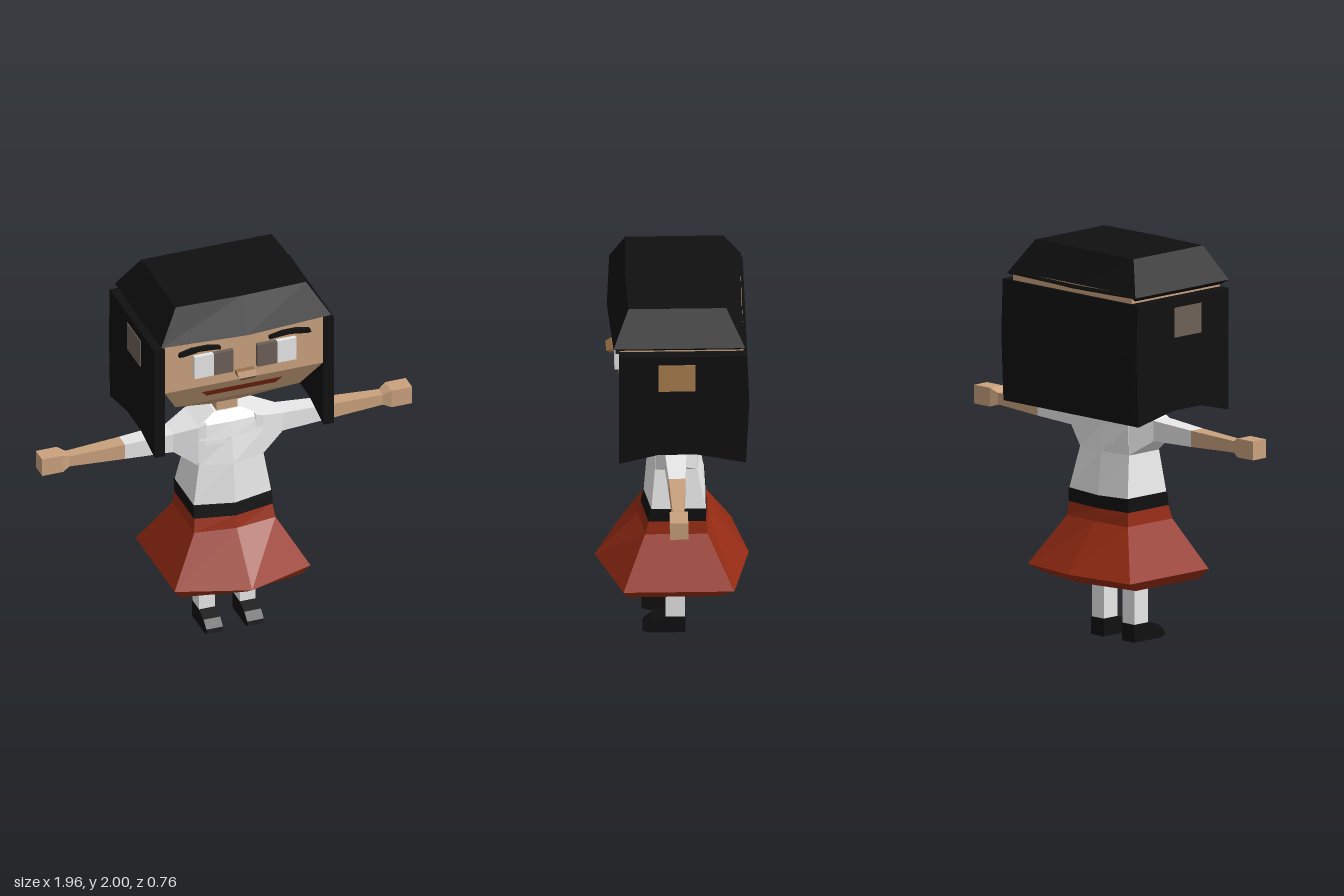
import * as THREE from 'three';

const mat = (name, color) => {
  const m = new THREE.MeshStandardMaterial({ color });
  m.name = name;
  return m;
};

// Four-cornered ring at height y
const ring4 = (y, x0, x1, zBack, zFront) =>
  [[x0, y, zFront], [x1, y, zFront], [x1, y, zBack], [x0, y, zBack]];

// Six-cornered ring with a centre ridge at front and back; drop lowers the ridges
const ring6 = (y, hw, zf, zfc, zb, zbc, drop = 0) => [
  [-hw, y, zf], [0, y - drop, zfc], [hw, y, zf],
  [hw, y, zb], [0, y - drop, zbc], [-hw, y, zb],
];

// Flat-faced skin over rings listed from bottom to top, closed at both ends
function loft(rings) {
  const pos = [];
  const tri = (a, b, c) => pos.push(...a, ...b, ...c);
  for (let s = 0; s < rings.length - 1; s++) {
    const lo = rings[s], hi = rings[s + 1], n = lo.length;
    for (let i = 0; i < n; i++) {
      const j = (i + 1) % n;
      tri(lo[i], lo[j], hi[j]);
      tri(lo[i], hi[j], hi[i]);
    }
  }
  const bottom = rings[0], top = rings[rings.length - 1];
  for (let i = 1; i < bottom.length - 1; i++) {
    tri(bottom[0], bottom[i + 1], bottom[i]);
    tri(top[0], top[i], top[i + 1]);
  }
  const g = new THREE.BufferGeometry();
  g.setAttribute('position', new THREE.Float32BufferAttribute(pos, 3));
  g.computeVertexNormals();
  return g;
}

// Side profile of [z, y] points, given thickness from x0 to x1
function sideExtrude(points, x0, x1) {
  const shape = new THREE.Shape(points.map(([z, y]) => new THREE.Vector2(-z, y)));
  const g = new THREE.ExtrudeGeometry(shape, { depth: x1 - x0, bevelEnabled: false });
  return g.rotateY(Math.PI / 2).translate(x0, 0, 0);
}

const box = (x0, x1, y0, y1, z0, z1) =>
  new THREE.BoxGeometry(x1 - x0, y1 - y0, z1 - z0)
    .translate((x0 + x1) / 2, (y0 + y1) / 2, (z0 + z1) / 2);

export function createModel() {
  const skin = mat('skin', 0xc9a17d);
  const earSkin = mat('ear skin', 0xac7f50);
  const white = mat('white cloth', 0xf3f3f3);
  const black = mat('black', 0x101010);
  const red = mat('red skirt', 0x952b13);
  const iris = mat('iris', 0x6c6057);
  const lip = mat('lips', 0x742511);
  const noseTone = mat('nose', 0x9c7047);

  const model = new THREE.Group();
  model.name = 'figure';
  const add = (name, geometry, material) => {
    const m = new THREE.Mesh(geometry, material);
    m.name = name;
    model.add(m);
    return m;
  };

  // Skirt with hollow underside, belt and shirt
  add('skirt', loft([
    ring6(0.5, 0.17, 0.09, 0.12, -0.12, -0.14),
    ring6(0.31, 0.32, 0.23, 0.31, -0.22, -0.31, -0.01),
    ring6(0.36, 0.36, 0.25, 0.385, -0.3, -0.38, -0.01),
    ring6(0.61, 0.215, 0.14, 0.17, -0.17, -0.18),
    ring6(0.68, 0.207, 0.12, 0.155, -0.16, -0.165, 0.005),
  ]), red);
  add('belt', loft([
    ring6(0.68, 0.209, 0.122, 0.157, -0.162, -0.167, 0.005),
    ring6(0.75, 0.209, 0.11, 0.145, -0.165, -0.168, 0.01),
  ]), black);
  add('shirt', loft([
    ring6(0.75, 0.205, 0.108, 0.142, -0.162, -0.165, 0.01),
    ring6(0.96, 0.172, 0.09, 0.125, -0.12, -0.145),
    ring6(1.1, 0.172, 0.088, 0.1, -0.125, -0.13),
    ring6(1.18, 0.17, 0.078, 0.085, -0.12, -0.128),
    ring6(1.225, 0.07, 0.035, 0.04, -0.07, -0.075),
  ]), white);
  const pocket = add('pocket', new THREE.BoxGeometry(0.11, 0.026, 0.006), white);
  pocket.position.set(-0.085, 1.088, 0.096);
  pocket.rotation.set(-0.12, -0.07, 0);

  // Arms: rows of [x, yLow, yHigh, zBack, zFront]
  const sleeve = [
    [0.13, 0.96, 1.195, -0.122, 0.088], [0.172, 0.96, 1.18, -0.12, 0.086],
    [0.29, 1.042, 1.145, -0.065, 0.045], [0.54, 1.048, 1.13, -0.053, 0.03],
  ];
  const forearm = [
    [0.54, 1.048, 1.13, -0.053, 0.03], [0.83, 1.06, 1.118, -0.04, 0.018],
    [0.87, 1.045, 1.14, -0.057, 0.033], [0.98, 1.045, 1.14, -0.057, 0.033],
  ];
  const armPart = (rows, s) => loft(rows.map(([x, lo, hi, zb, zf]) =>
    s > 0 ? ring4(x, -hi, -lo, zb, zf) : ring4(x, lo, hi, zb, zf))).rotateZ(-s * Math.PI / 2);

  const shoeProfile = [[-0.062, 0.09], [-0.062, 0], [0.12, 0], [0.15, 0.012], [0.145, 0.035], [0.105, 0.07], [0.04, 0.09]];

  // Side hair: lower edge arches over the shoulder
  const hairProfile = [[0.275, 1.797], [-0.36, 1.797], [-0.37, 1.52], [-0.355, 1.18],
    [-0.11, 1.23], [0.08, 1.23], [0.275, 1.18]];

  for (const s of [1, -1]) {
    const side = s > 0 ? 'left' : 'right';
    const span = (a, b) => s > 0 ? [a, b] : [-b, -a];
    add(side + 'Sleeve', armPart(sleeve, s), white);
    add(side + 'Forearm', armPart(forearm, s), skin);

    // Legs and feet
    add(side + 'Stocking', box(...span(0.066, 0.15), 0.09, 0.34, -0.06, 0.036), white);
    add(side + 'Shorts', box(...span(0.062, 0.155), 0.34, 0.52, -0.066, 0.042), black);
    add(side + 'Shoe', sideExtrude(shoeProfile, ...span(0.064, 0.152)), black);

    // Hair panel and ear plate
    add(side + 'Hair', sideExtrude(hairProfile, ...span(0.42, 0.475)), black);
    add(side + 'Ear', box(...span(0.474, 0.48), 1.6, 1.75, -0.105, 0.08), s > 0 ? earSkin : iris);

    // Eye and brow
    add(side + 'Iris', box(...span(0.063, 0.168), 1.605, 1.73, 0.265, 0.293), iris);
    add(side + 'EyeWhite', box(...span(0.168, 0.27), 1.605, 1.73, 0.265, 0.293), white);
    const brow = new THREE.Shape([[0.13, 1.748], [0.15, 1.751], [0.24, 1.757], [0.33, 1.743], [0.35, 1.745],
      [0.345, 1.762], [0.28, 1.778], [0.2, 1.778], [0.13, 1.763]].map(([x, y]) => new THREE.Vector2(s * x, y)));
    add(side + 'Brow', new THREE.ExtrudeGeometry(brow, { depth: 0.02, bevelEnabled: false })
      .translate(0, 0, 0.27), black);
  }

  // Neck and head, narrowing to the chin
  add('neck', box(-0.056, 0.056, 1.19, 1.29, -0.06, 0.03), skin);
  add('head', loft([
    ring4(1.25, -0.06, 0.06, -0.1, 0.0),
    ring4(1.39, -0.33, 0.33, -0.28, 0.18),
    ring4(1.54, -0.419, 0.419, -0.335, 0.27),
    ring4(1.84, -0.419, 0.419, -0.345, 0.27),
  ]), skin);

  // Nose and mouth
  add('nose', loft([
    ring4(1.56, -0.035, 0.035, 0.26, 0.315),
    ring4(1.58, -0.048, 0.048, 0.26, 0.33),
    ring4(1.6, -0.048, 0.048, 0.26, 0.3),
  ]), noseTone);
  add('mouth', loft([
    ring4(1.455, -0.183, 0.183, 0.21, 0.23),
    ring4(1.485, -0.212, 0.212, 0.225, 0.241),
  ]), lip);

  // Back hair panel and the bevelled cap of hair on top
  add('backHair', loft([
    ring4(1.18, -0.455, 0.455, -0.355, -0.325),
    ring4(1.52, -0.46, 0.46, -0.372, -0.335),
    ring4(1.795, -0.46, 0.46, -0.36, -0.33),
  ]), black);
  add('hairCap', loft([
    ring6(1.808, 0.425, 0.27, 0.285, -0.325, -0.33, 0.008),
    ring6(1.83, 0.45, 0.302, 0.325, -0.352, -0.352, 0.008),
    ring6(2.0, 0.345, 0.225, 0.235, -0.26, -0.26),
  ]), black);

  return model;
}
